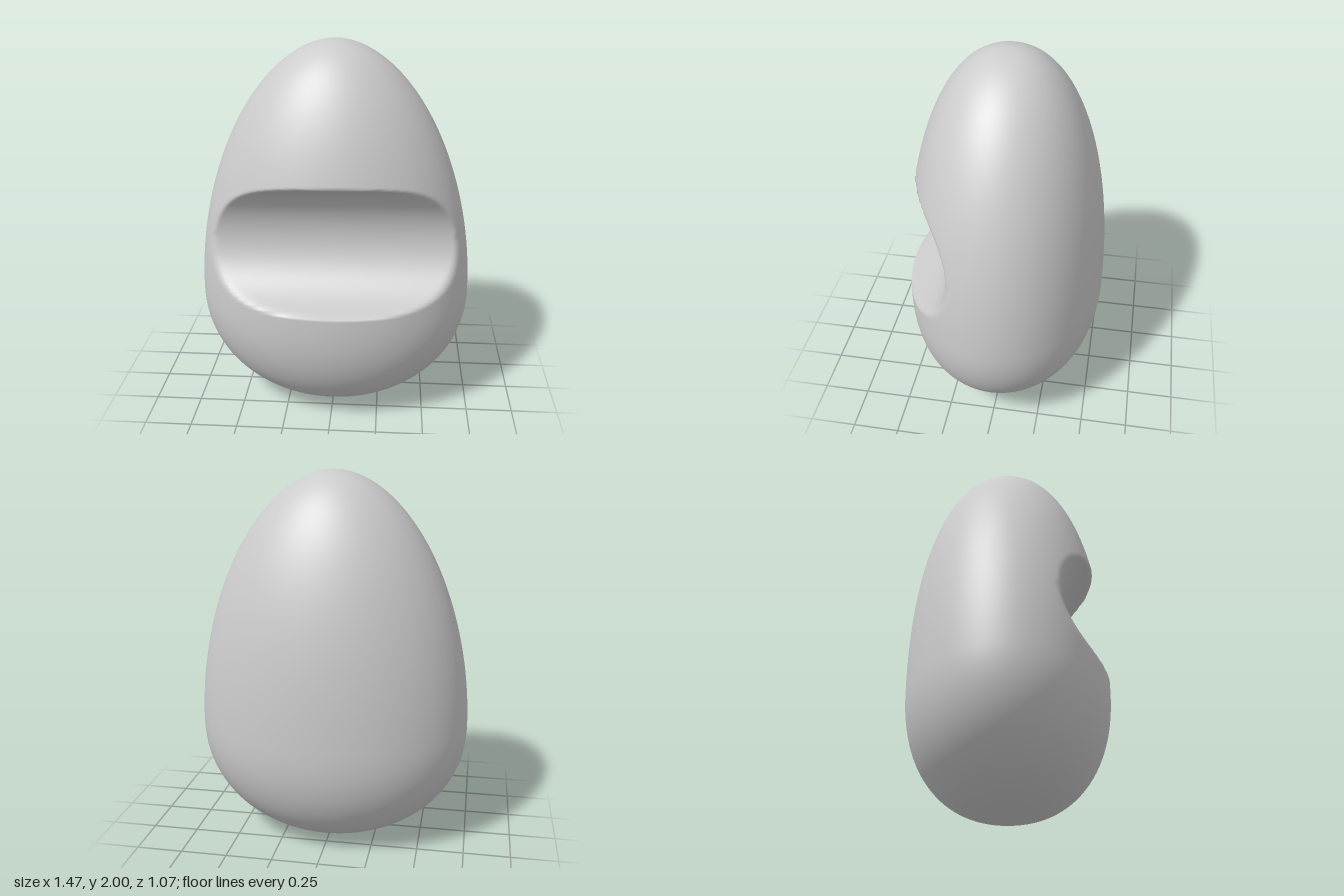
import * as THREE from 'three';

// Egg: widest ring, and the curve powers of the outline below and above it
const WAIST = { y: 0.64, halfWidth: 0.737, halfDepth: 0.537 };
const BELOW = { height: 0.64, widthPower: 2.15, depthPower: 2.3 };
const ABOVE = { height: 1.36, widthPower: 1.9, depthPower: 2.18 };
const ROWS = 320, COLS = 200;

// Horizontal round groove across the front, turned very slightly about y
const GROOVE = { y: 1.018, z: 0.56, r: 0.335, slope: -0.03 };

const bulge = (u, power) => (1 - u ** power) ** (1 / power);

function carve(x, y, z) {
  const dy = y - GROOVE.y;
  if (z <= 0 || Math.abs(dy) >= GROOVE.r) return z;
  const floor = GROOVE.z + GROOVE.slope * x - Math.sqrt(GROOVE.r ** 2 - dy ** 2);
  // smooth minimum: softly rounded lower lip, sharper upper one
  const k = dy < 0 ? 0.035 : 0.015;
  const h = Math.max(k - Math.abs(z - floor), 0) / k;
  return Math.min(z, floor) - h * h * k * 0.25;
}

function eggGeometry() {
  const pos = [], index = [];

  // Elliptical rings between the two poles
  for (let i = 1; i < ROWS; i++) {
    const s = Math.sin((i / ROWS - 0.5) * Math.PI);
    const part = s < 0 ? BELOW : ABOVE;
    const y = WAIST.y + s * part.height;
    const a = WAIST.halfWidth * bulge(Math.abs(s), part.widthPower);
    const b = WAIST.halfDepth * bulge(Math.abs(s), part.depthPower);
    for (let j = 0; j < COLS; j++) {
      const t = (j / COLS) * Math.PI * 2;
      const x = a * Math.sin(t);
      pos.push(x, y, carve(x, y, b * Math.cos(t)));
    }
  }
  const rings = ROWS - 1, bottom = rings * COLS, top = bottom + 1;
  pos.push(0, 0, 0, 0, 2, 0);

  for (let j = 0; j < COLS; j++) {
    const n = (j + 1) % COLS;
    for (let i = 0; i < rings - 1; i++) {
      const a = i * COLS + j, b = i * COLS + n;
      index.push(a, b, b + COLS, a, b + COLS, a + COLS);
    }
    const last = (rings - 1) * COLS;
    index.push(bottom, n, j, top, last + j, last + n);
  }

  const geo = new THREE.BufferGeometry();
  geo.setAttribute('position', new THREE.Float32BufferAttribute(pos, 3));
  geo.setIndex(index);
  geo.computeVertexNormals();
  return geo;
}

export function createModel() {
  const group = new THREE.Group();
  group.name = 'groovedEgg';
  const body = new THREE.Mesh(eggGeometry(), new THREE.MeshStandardMaterial({ color: 0xcccccc }));
  body.name = 'eggBodyWithFrontGroove';
  group.add(body);
  return group;
}
